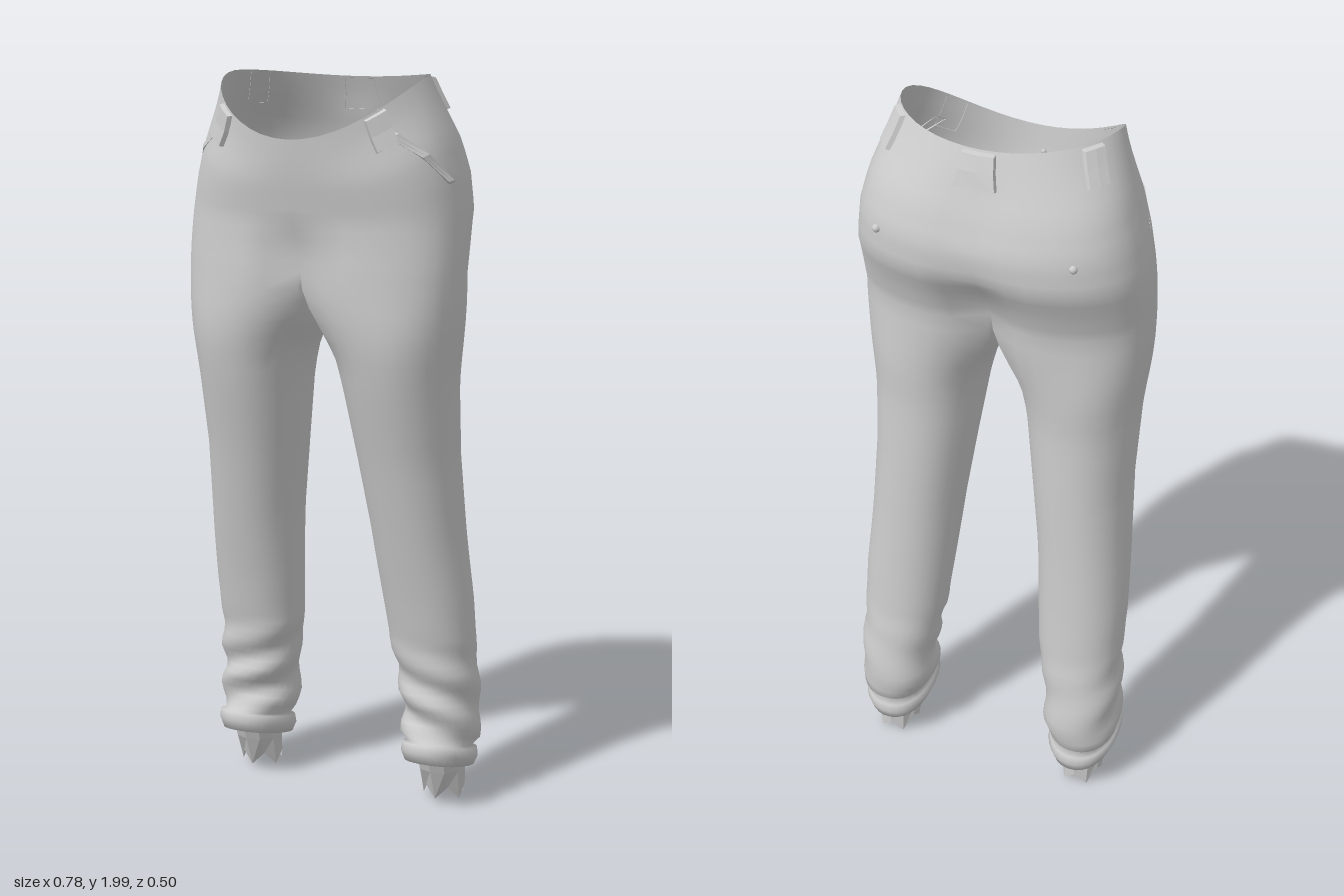
import * as THREE from 'three';
import { mergeVertices } from 'three/addons/utils/BufferGeometryUtils.js';

const { lerp, smoothstep } = THREE.MathUtils;
const OUTER = 22, INNER = 8, RING = OUTER + INNER; // segments around one half
const CROTCH = 1.5;

// hip sections: height, half width, front z, back z
const HIPS = [
  [2.0, 0.283, 0.25, -0.162], [1.95, 0.3, 0.245, -0.185], [1.85, 0.337, 0.235, -0.225],
  [1.75, 0.364, 0.225, -0.252], [1.66, 0.378, 0.216, -0.252], [1.57, 0.382, 0.216, -0.212],
  [1.5, 0.382, 0.22, -0.19],
];
// leg sections: height, inner x, outer x, front z, back z
const LEG = [
  [1.5, 0.0, 0.382, 0.22, -0.19], [1.44, 0.015, 0.38, 0.219, -0.18], [1.3, 0.045, 0.37, 0.2, -0.175],
  [1.2, 0.068, 0.36, 0.18, -0.17], [1.0, 0.095, 0.357, 0.13, -0.178], [0.8, 0.12, 0.367, 0.085, -0.185],
  [0.6, 0.136, 0.38, 0.04, -0.195], [0.45, 0.15, 0.38, 0.012, -0.205], [0.36, 0.172, 0.383, 0.004, -0.22],
  [0.25, 0.18, 0.385, 0.0, -0.235], [0.2, 0.185, 0.383, 0.012, -0.225],
];
// groove, turned-up hem and its inward fold
const HEM = [
  [0.175, 0.2, 0.368, 0.015, -0.205], [0.17, 0.19, 0.382, 0.033, -0.222], [0.145, 0.186, 0.384, 0.036, -0.225],
  [0.118, 0.198, 0.372, 0.03, -0.218], [0.118, 0.225, 0.35, 0.005, -0.195], [0.16, 0.225, 0.35, 0.0, -0.19],
];

function sectionAt(table, y) {
  let i = 0;
  while (i < table.length - 2 && y < table[i + 1][0]) i++;
  const a = table[i], b = table[i + 1];
  const f = THREE.MathUtils.clamp((a[0] - y) / (a[0] - b[0]), 0, 1);
  return a.map((v, k) => lerp(v, b[k], f));
}

const power = (v, e) => Math.sign(v) * Math.abs(v) ** e;

// point on the hips: t runs from front centre (0) round the side to back centre (PI)
function hipPoint(t, y) {
  const [, w, zf, zb] = sectionAt(HIPS, y);
  const e = lerp(0.78, 1, smoothstep(y, 1.8, 2));
  const c = Math.cos(t), x = w * power(Math.sin(t), e);
  let z = (zf + zb) / 2 + (zf - zb) / 2 * power(c, e);
  // centre seam dips inwards towards the crotch
  const dip = c > 0 ? 0.05 * (1 - smoothstep(y, 1.48, 1.7)) : 0.015 + 0.055 * (1 - smoothstep(y, 1.48, 1.72));
  z -= Math.sign(c) * dip * Math.exp(-((x / 0.07) ** 2)) * (1 - smoothstep(y, 1.85, 2));
  // the waistline drops at the front
  const rim = 0.045 + 0.205 * c;
  const drop = rim > 0 ? 0.155 * (rim / 0.25) ** 2 : 0.018 * (rim / 0.16) ** 2;
  return [x, y - drop * smoothstep(y, 1.55, 2), z];
}

// closed ring of a leg, blended out of the hip contour and the crotch line
function legRing(row) {
  const [y, xi, xo, zf, zb] = row, ring = [];
  const w = smoothstep(CROTCH - y, 0, 0.24);
  const front = hipPoint(0, CROTCH)[2], back = hipPoint(Math.PI, CROTCH)[2];
  const wrinkle = y > 0.19 ? 0.011 * (1 - smoothstep(y, 0.3, 0.55)) : 0;
  for (let i = 0; i < RING; i++) {
    const outer = i <= OUTER, f = outer ? i / OUTER : (i - OUTER) / INNER;
    const a = outer ? lerp(-0.7, Math.PI + 0.7, f) : lerp(Math.PI + 0.7, 2 * Math.PI - 0.7, f);
    const s = 2 * f - 1;
    const hip = outer ? hipPoint(f * Math.PI, CROTCH) : [0, 0, lerp(back, front, f)];
    const r = 1 + wrinkle * 10 * Math.sin(y * 48 + a * 2) * (0.6 + 0.4 * Math.cos(a));
    const x = (xi + xo) / 2 + (xo - xi) / 2 * r * power(Math.sin(a), 0.92);
    const z = (zf + zb) / 2 + (zf - zb) / 2 * r * power(Math.cos(a), 0.92);
    const sag = outer ? 0 : -0.06 * (1 - s * s) * (1 - w);
    const tilt = 0.27 * (z + 0.1) * (1 - smoothstep(y, 0.2, 0.42));
    ring.push([lerp(hip[0], x, w), y + sag + tilt, lerp(hip[2], z, w)]);
  }
  return ring;
}

function gridGeometry(build) {
  const pos = [], idx = [];
  build(pos, idx);
  const g = new THREE.BufferGeometry();
  g.setAttribute('position', new THREE.Float32BufferAttribute(pos, 3));
  g.setIndex(idx);
  return g;
}

function trouserGeometry() {
  const g = gridGeometry((pos, idx) => {
    for (const side of [1, -1]) {
      const put = (p) => pos.push(side * (Math.abs(p[0]) < 1e-6 ? 0 : p[0]), p[1], p[2]);
      const quad = (a, b, c, d) => (side > 0 ? idx.push(a, b, c, a, c, d) : idx.push(a, c, b, a, d, c));
      // hips, open at the waist
      let base = pos.length / 3;
      const hipRows = 16, n = OUTER + 1;
      for (let j = 0; j <= hipRows; j++)
        for (let i = 0; i <= OUTER; i++) put(hipPoint(i / OUTER * Math.PI, lerp(2, CROTCH, j / hipRows)));
      for (let j = 0; j < hipRows; j++)
        for (let i = 0; i < OUTER; i++) {
          const a = base + j * n + i;
          quad(a, a + n, a + n + 1, a + 1);
        }
      // leg and hem
      base = pos.length / 3;
      const rows = [];
      for (let j = 0; j <= 22; j++) rows.push(sectionAt(LEG, lerp(CROTCH, 0.5, j / 22)));
      for (let j = 1; j <= 12; j++) rows.push(sectionAt(LEG, lerp(0.5, 0.2, j / 12)));
      rows.push(...HEM);
      rows.forEach((r) => legRing(r).forEach(put));
      for (let j = 0; j < rows.length - 1; j++)
        for (let i = 0; i < RING; i++) {
          const a = base + j * RING + i, d = base + j * RING + (i + 1) % RING;
          quad(a, a + RING, d + RING, d);
        }
    }
  });
  const merged = mergeVertices(g, 1e-4);
  // slight sideways lean of the thighs
  const p = merged.attributes.position;
  for (let i = 0; i < p.count; i++) {
    const y = p.getY(i);
    p.setX(i, p.getX(i) - 0.008 * smoothstep(y, 0.4, 0.8) * (1 - smoothstep(y, 1.6, 1.85)));
  }
  merged.computeVertexNormals();
  return merged;
}

// raised cloth patch that follows the hips; slant shifts its lower edge round the body
function patchGeometry(side, t0, t1, y0, y1, lift, slant = 0) {
  const n = 5;
  const g = gridGeometry((pos, idx) => {
    const edge = [0, 0.04, 0.5, 0.96, 1];
    for (let j = 0; j < n; j++)
      for (let i = 0; i < n; i++) {
        const t = lerp(t0, t1, edge[i]) + slant * edge[j];
        const [x, y, z] = hipPoint(t, lerp(y0, y1, edge[j]));
        const h = i % 4 === 0 || j % 4 === 0 ? -0.002 : lift;
        pos.push(side * (x + h * Math.sin(t)), y, z + h * Math.cos(t));
        if (i < 4 && j < 4) {
          const a = j * n + i;
          if (side > 0) idx.push(a, a + n, a + n + 1, a, a + n + 1, a + 1);
          else idx.push(a, a + n + 1, a + n, a, a + 1, a + n + 1);
        }
      }
  });
  g.computeVertexNormals();
  return g;
}

// ragged, faceted ankle end below the hem
function ankleGeometry() {
  const g = new THREE.CylinderGeometry(1, 1, 1, 10, 2, true);
  const p = g.attributes.position;
  for (let i = 0; i < p.count; i++) {
    const level = 0.5 - p.getY(i), k = i % 11 % 10;
    const x = p.getX(i), z = p.getZ(i);
    const rag = level > 0.9 ? (k % 2 ? 0.035 : 0) + 0.008 * z : 0;
    p.setXYZ(i, x * lerp(0.066, 0.056, level), lerp(0.18, 0.012, level) + rag + 0.1 * z * (1 - level) * 0.3,
      lerp(-0.09, -0.125, level) + z * lerp(0.1, 0.065, level));
  }
  g.computeVertexNormals();
  return g;
}

export function createModel() {
  const group = new THREE.Group();
  const cloth = new THREE.MeshStandardMaterial({ color: 0xcccccc, side: THREE.DoubleSide });
  const faceted = new THREE.MeshStandardMaterial({ color: 0xcccccc, side: THREE.DoubleSide, flatShading: true });
  const add = (name, geometry, material, x = 0, y = 0, z = 0) => {
    const mesh = new THREE.Mesh(geometry, material);
    mesh.name = name;
    mesh.position.set(x, y, z);
    group.add(mesh);
  };

  add('trousers', trouserGeometry(), cloth);
  add('backBeltLoop', patchGeometry(1, Math.PI - 0.15, Math.PI + 0.15, 1.995, 1.91, 0.012), faceted);
  add('flyButton', new THREE.SphereGeometry(0.007, 8, 6), cloth, -0.01, 1.78, 0.234);

  for (const side of [1, -1]) {
    const label = side > 0 ? 'left' : 'right';
    add(label + 'FrontBeltLoop', patchGeometry(side, 0.71, 0.93, 1.995, 1.9, 0.012), faceted);
    add(label + 'SideBeltLoop', patchGeometry(side, 1.98, 2.22, 1.995, 1.91, 0.012), faceted);
    add(label + 'PocketEdge', patchGeometry(side, 0.85, 0.95, 1.93, 1.74, 0.004, 0.5), faceted);
    add(label + 'Ankle', ankleGeometry(), faceted, side * 0.288, 0, 0);
    const [x, y, z] = hipPoint(2.45, 1.74);
    add(label + 'PocketButton', new THREE.SphereGeometry(0.011, 10, 8), cloth, side * x, y, z);
  }
  return group;
}
